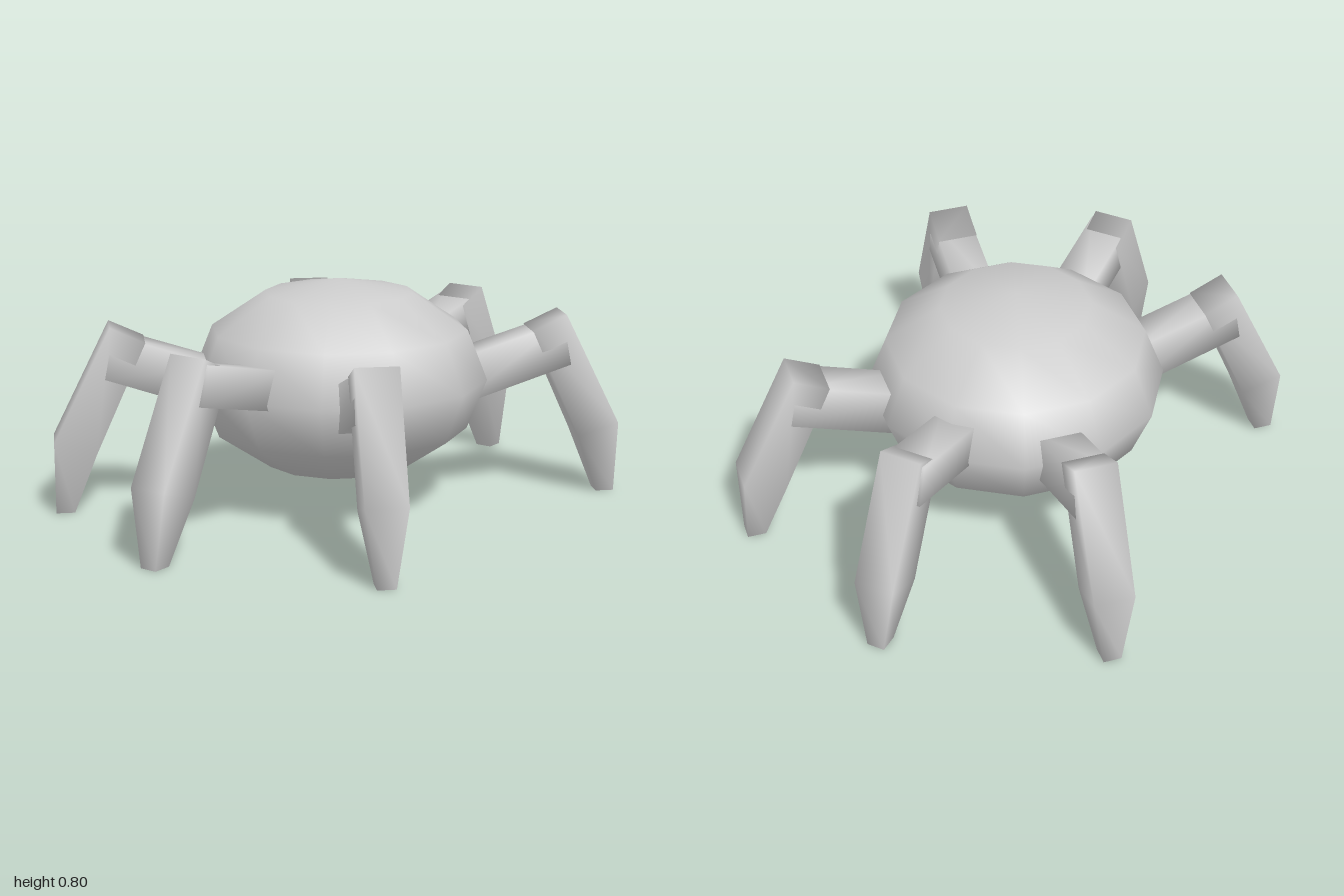
import * as THREE from 'three';

const shell = new THREE.MeshStandardMaterial({ color: 0xcccccc });
shell.name = 'grey shell';

// Four-sided smooth prism through sections { a: [z, y], b: [z, y], w: half width, x: sideways shift }
function prism(name, sections) {
  const pos = [], index = [];
  for (const { a, b, w, x = 0 } of sections) {
    pos.push(x - w, a[1], a[0], x + w, a[1], a[0], x + w, b[1], b[0], x - w, b[1], b[0]);
  }
  const last = (sections.length - 1) * 4;
  for (let s = 0; s < last; s += 4) {
    for (let j = 0; j < 4; j++) {
      const k = (j + 1) % 4;
      index.push(s + j, s + 4 + j, s + 4 + k, s + j, s + 4 + k, s + k);
    }
  }
  index.push(0, 1, 2, 0, 2, 3, last, last + 2, last + 1, last, last + 3, last + 2);
  const geometry = new THREE.BufferGeometry();
  geometry.setAttribute('position', new THREE.Float32BufferAttribute(pos, 3));
  geometry.setIndex(index);
  geometry.computeVertexNormals();
  const mesh = new THREE.Mesh(geometry, shell);
  mesh.name = name;
  return mesh;
}

// One leg pointing along +z; straight legs lean slightly sideways
function makeLeg(name, angle, straight) {
  const leg = new THREE.Group();
  leg.name = name;
  const lean = straight ? -0.015 : 0;
  const upper = straight
    ? [{ a: [0.83, 0.51], b: [0.79, 0.64], w: 0.074 }, { a: [0.4, 0.41], b: [0.4, 0.55], w: 0.074 }]
    : [{ a: [0.82, 0.48], b: [0.79, 0.635], w: 0.072 }, { a: [0.4, 0.34], b: [0.4, 0.51], w: 0.072 }];
  leg.add(prism('upperLeg', upper));
  leg.add(prism('lowerLeg', [
    { a: [0.8, 0.66], b: [0.68, 0.605], w: 0.0725, x: lean * 0.5 },
    { a: [1.0, 0.26], b: [0.855, 0.215], w: 0.07, x: lean * 0.7 },
    { a: [1.0, 0], b: [0.935, 0], w: 0.031, x: lean },
  ]));
  leg.rotation.y = angle;
  return leg;
}

export function createModel() {
  const model = new THREE.Group();
  model.name = 'sixLeggedWalker';

  // Flattened round body
  const bodyGeometry = new THREE.SphereGeometry(1, 12, 6);
  bodyGeometry.scale(0.52, 0.35, 0.52);
  const body = new THREE.Mesh(bodyGeometry, shell);
  body.name = 'body';
  body.position.y = 0.45;
  model.add(body);

  // Front and back legs, then the four diagonal ones
  model.add(makeLeg('frontLeg', 0, true), makeLeg('backLeg', Math.PI, true));
  for (const [side, s] of [['left', 1], ['right', -1]]) {
    model.add(makeLeg(side + 'FrontLeg', s * Math.PI / 4, false));
    model.add(makeLeg(side + 'BackLeg', s * Math.PI * 3 / 4, false));
  }
  return model;
}
